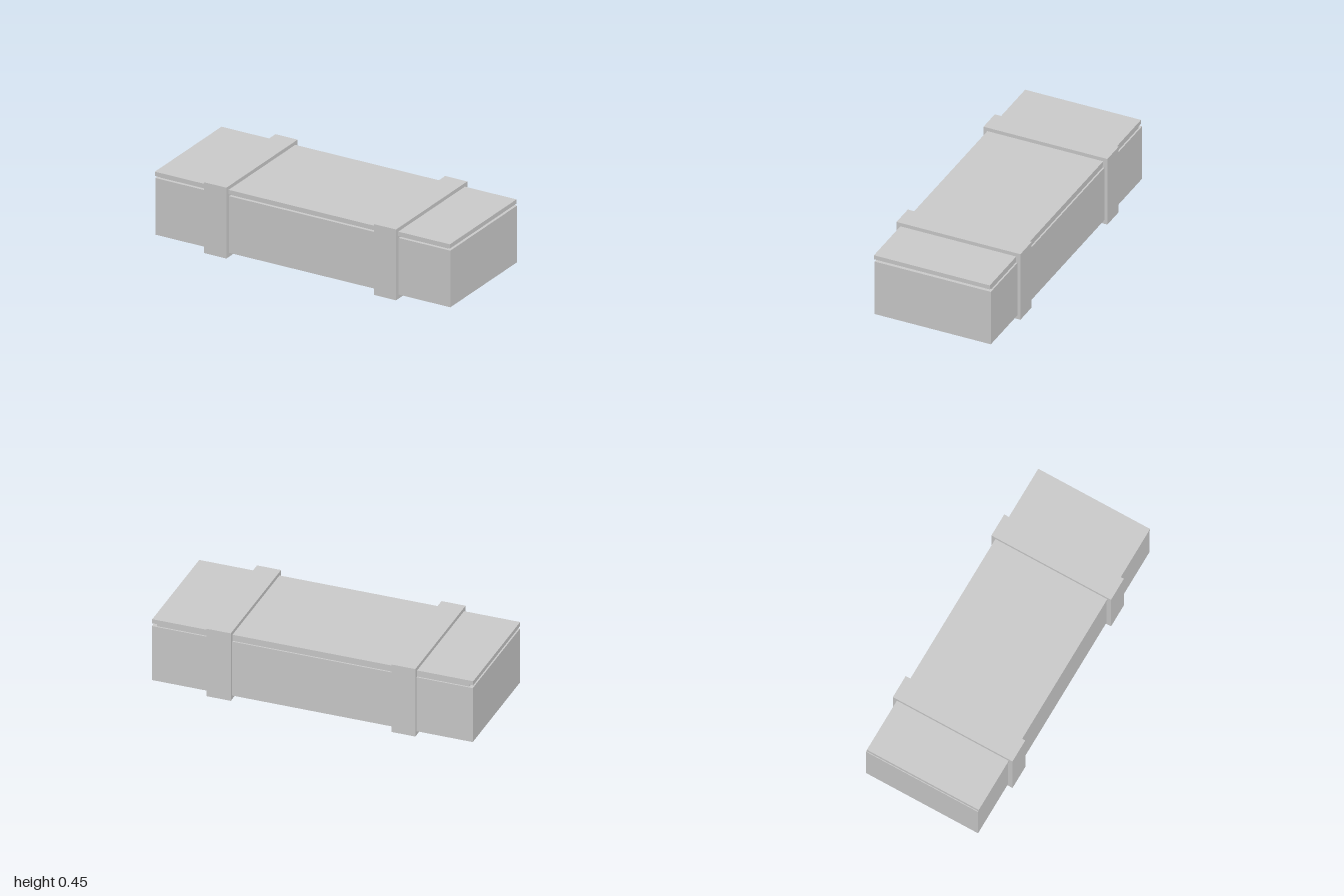
import * as THREE from 'three';

const material = new THREE.MeshStandardMaterial({ color: 0xcccccc, flatShading: true });

// Box given by its lower and upper corners
function block(name, [x0, y0, z0], [x1, y1, z1]) {
  const mesh = new THREE.Mesh(new THREE.BoxGeometry(x1 - x0, y1 - y0, z1 - z0), material);
  mesh.position.set((x0 + x1) / 2, (y0 + y1) / 2, (z0 + z1) / 2);
  mesh.name = name;
  return mesh;
}

export function createModel() {
  const crate = new THREE.Group();
  crate.name = 'crate';

  // Body, recessed lip and overhanging lid
  crate.add(
    block('body', [-1, 0.025, -0.38], [1, 0.385, 0.37]),
    block('lip', [-0.975, 0.385, -0.37], [0.97, 0.4, 0.35]),
    block('lid', [-1, 0.4, -0.373], [1, 0.427, 0.375])
  );

  // Bands wrapped around the crate near each end
  for (const [name, x] of [['leftBand', 0.575], ['rightBand', -0.575]]) {
    crate.add(block(name, [x - 0.075, 0, -0.4], [x + 0.075, 0.45, 0.4]));
  }
  return crate;
}
